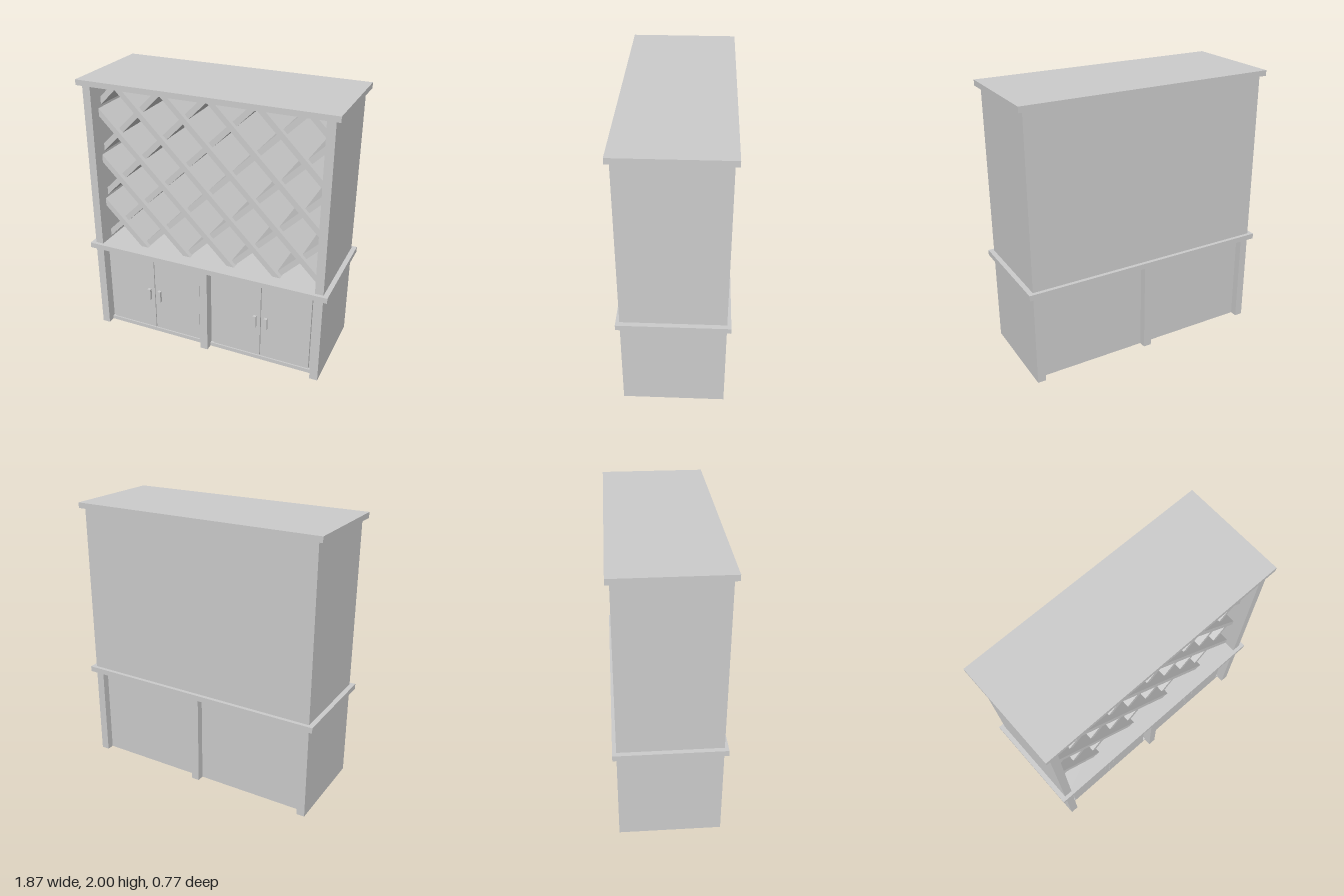
import * as THREE from 'three';

const material = new THREE.MeshStandardMaterial({ color: 0xcccccc, flatShading: true });

// Box given by its min and max corners
function addBox(parent, name, [x0, y0, z0], [x1, y1, z1]) {
  const mesh = new THREE.Mesh(new THREE.BoxGeometry(x1 - x0, y1 - y0, z1 - z0), material);
  mesh.position.set((x0 + x1) / 2, (y0 + y1) / 2, (z0 + z1) / 2);
  mesh.name = name;
  parent.add(mesh);
  return mesh;
}

// Keep the part of a polygon where a*x + b*y <= c
function clip(points, a, b, c) {
  const out = [];
  points.forEach((p, i) => {
    const q = points[(i + 1) % points.length];
    const dp = a * p.x + b * p.y - c;
    const dq = a * q.x + b * q.y - c;
    if (dp <= 0) out.push(p);
    if (dp * dq < 0) out.push(p.clone().lerp(q, dp / (dp - dq)));
  });
  return out;
}

// Diagonal rack boards running one way, trimmed to the upper opening
function addRackBoards(parent, name, dir, zBack, zFront) {
  const opening = [[-0.84, 0.725], [0.84, 0.725], [0.84, 1.96], [-0.84, 1.96]]
    .map(([x, y]) => new THREE.Vector2(x, y));
  const half = 0.029;
  for (let k = -3; k <= 4; k++) {
    const c = 1.255 + 0.351 * k;
    const outline = clip(clip(opening, dir, 1, c + half), -dir, -1, -(c - half));
    if (outline.length < 3) continue;
    const geometry = new THREE.ExtrudeGeometry(new THREE.Shape(outline), {
      depth: zFront - zBack, bevelEnabled: false,
    });
    geometry.translate(0, 0, zBack);
    const mesh = new THREE.Mesh(geometry, material);
    mesh.name = name;
    parent.add(mesh);
  }
}

export function createModel() {
  const model = new THREE.Group();
  model.name = 'rackCabinet';

  // Top and counter slabs
  addBox(model, 'topSlab', [-0.935, 1.96, -0.385], [0.935, 2, 0.381]);
  addBox(model, 'counterSlab', [-0.935, 0.685, -0.385], [0.935, 0.725, 0.381]);

  // Full-depth side panels and centre divider
  for (const [side, x] of [['right', -0.87], ['left', 0.87]]) {
    addBox(model, side + 'LowerSide', [x - 0.03, 0, -0.358], [x + 0.03, 0.685, 0.355]);
    addBox(model, side + 'UpperSide', [x - 0.03, 0.725, -0.358], [x + 0.03, 1.96, 0.355]);
  }
  addBox(model, 'centreDivider', [-0.03, 0, -0.358], [0.03, 0.685, 0.355]);

  // Upper back panel, flush with the sides
  addBox(model, 'upperBack', [-0.84, 0.725, -0.358], [0.84, 1.96, -0.33]);

  // Diagonal rack: one set of boards sits slightly behind the other
  const rack = new THREE.Group();
  rack.name = 'diagonalRack';
  addRackBoards(rack, 'fallingBoard', 1, -0.33, 0.27);
  addRackBoards(rack, 'risingBoard', -1, -0.33, 0.235);
  model.add(rack);

  // Lower cabinets, recessed at front and back
  for (const s of [-1, 1]) {
    const cabinet = new THREE.Group();
    cabinet.name = s < 0 ? 'rightCabinet' : 'leftCabinet';
    const mid = s * 0.435;
    addBox(cabinet, 'cabinetBody', [mid - 0.405, 0.03, -0.305], [mid + 0.405, 0.685, 0.28]);
    addBox(cabinet, 'floorBoard', [mid - 0.405, 0, -0.305], [mid + 0.405, 0.03, 0.3]);
    addBox(cabinet, 'topRail', [mid - 0.405, 0.668, 0.28], [mid + 0.405, 0.685, 0.3]);

    // A pair of doors, each with a bar handle near the meeting edge
    for (const d of [-1, 1]) {
      const inner = mid + d * 0.003;
      const outer = mid + d * 0.377;
      addBox(cabinet, 'door', [Math.min(inner, outer), 0.04, 0.28], [Math.max(inner, outer), 0.66, 0.302]);
      const hx = mid + d * 0.043;
      addBox(cabinet, 'handle', [hx - 0.012, 0.295, 0.302], [hx + 0.012, 0.386, 0.325]);
    }
    model.add(cabinet);
  }

  return model;
}
